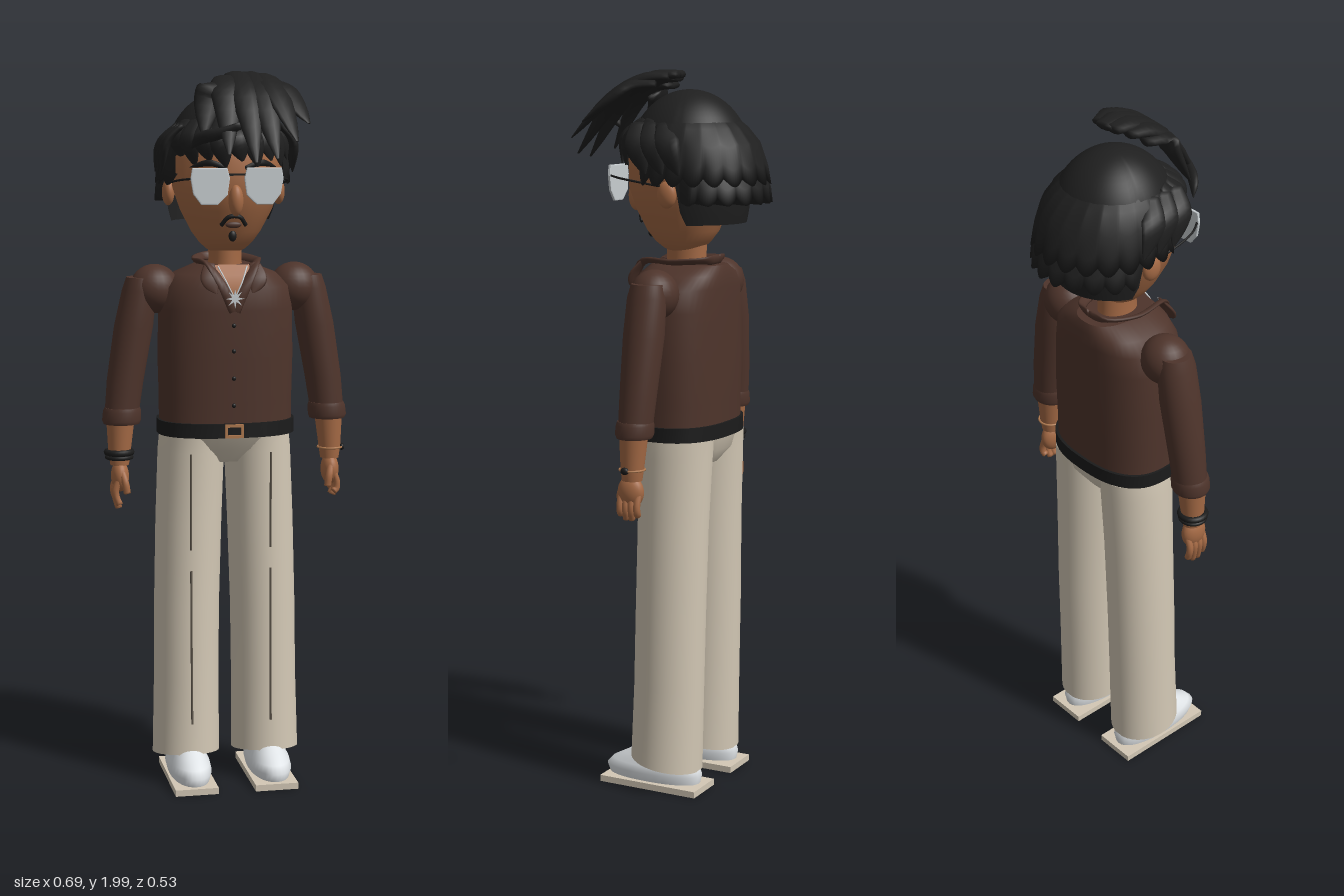
import * as THREE from 'three';

const mat = (name, color, side = THREE.FrontSide) => {
  const m = new THREE.MeshStandardMaterial({ color, side });
  m.name = name;
  return m;
};
const V = (x, y, z) => new THREE.Vector3(x, y, z);
const clamp01 = (v) => Math.min(1, Math.max(0, v));

// Grid surface: fn(column, row) gives a point; columns run around, rows run up
function surface(nu, rows, closed, fn) {
  const cols = closed ? nu : nu + 1, pos = [], idx = [];
  for (let j = 0; j < rows; j++)
    for (let i = 0; i < cols; i++) pos.push(...fn(i / nu, j).toArray());
  for (let j = 0; j < rows - 1; j++)
    for (let i = 0; i < nu; i++) {
      const a = j * cols + i, b = j * cols + ((i + 1) % cols), c = a + cols, d = b + cols;
      idx.push(a, c, b, b, c, d);
    }
  const g = new THREE.BufferGeometry();
  g.setAttribute('position', new THREE.Float32BufferAttribute(pos, 3));
  g.setIndex(idx);
  g.computeVertexNormals();
  return g;
}

// Stack of ellipses [y, cx, rx, cz, rz, tilt], capped with sharp rims
function loft(rings, p = 1, seg = 36) {
  const n = rings.length, pw = (v) => Math.sign(v) * Math.abs(v) ** p;
  return surface(seg, n + 4, true, (u, j) => {
    const [y, cx, rx, cz, rz, tilt = 0] = rings[Math.min(n - 1, Math.max(0, j - 2))];
    const k = j === 0 || j === n + 3 ? 0 : 1, t = u * Math.PI * 2;
    const s = pw(Math.sin(t)) * k;
    return V(cx + rx * pw(Math.cos(t)) * k, y + tilt * s, cz + rz * s);
  });
}

// Flat strand swept along points; w and h are half sizes, tapered to a tip if asked
function strand(points, w, h, side, taper = true, steps = 12) {
  const curve = new THREE.CatmullRomCurve3(points.map((q) => V(...q)));
  return surface(10, steps + 3, true, (u, j) => {
    const k = Math.min(steps, Math.max(0, j - 1)) / steps, t = u * Math.PI * 2;
    const T = curve.getTangent(k), e1 = V(...side);
    e1.addScaledVector(T, -e1.dot(T)).normalize();
    const e2 = e1.clone().cross(T);
    const end = j === 0 || j === steps + 2 ? 0 : 1;
    const f = end * (taper ? (k < 0.5 ? 0.6 + 0.8 * k : 1 - (2 * k - 1) ** 2 * 0.9) : 1);
    return curve.getPoint(k).addScaledVector(e1, w * f * Math.cos(t)).addScaledVector(e2, h * f * Math.sin(t));
  });
}

const ball = (x, y, z, rx, ry, rz) => new THREE.SphereGeometry(1, 24, 16).scale(rx, ry, rz).translate(x, y, z);
const box = (x, y, z, w, h, d) => new THREE.BoxGeometry(w, h, d).translate(x, y, z);

export function createModel() {
  const root = new THREE.Group();
  root.name = 'standingMan';
  const skin = mat('skin', 0xa56a45), hair = mat('hairBlack', 0x1f1f1f, THREE.DoubleSide);
  const shirt = mat('shirtBrown', 0x4e342b), cream = mat('trouserCream', 0xd3c8b5);
  const black = mat('beltBlack', 0x1b1b1b), white = mat('shoeWhite', 0xdfe3e6);
  const glass = mat('lensGrey', 0xc8ced1), seam = mat('creaseGrey', 0x5e564b);
  const tan = mat('buckleTan', 0xb07a50);
  const add = (name, g, m, parent = root) => {
    const mesh = new THREE.Mesh(g, m);
    mesh.name = name;
    parent.add(mesh);
  };

  // Trunk
  add('shirtBody', loft([[1.02, 0, 0.185, -0.03, 0.127], [1.1, 0, 0.185, -0.03, 0.128], [1.22, 0, 0.188, -0.03, 0.13],
    [1.35, 0, 0.185, -0.028, 0.13], [1.41, 0, 0.175, -0.03, 0.127], [1.445, 0, 0.14, -0.035, 0.12],
    [1.47, 0, 0.075, -0.04, 0.105]], 0.8, 48), shirt);
  add('hips', loft([[0.92, 0, 0.08, -0.045, 0.07], [0.96, 0, 0.165, -0.045, 0.1], [1.01, 0, 0.185, -0.038, 0.118]], 0.85), cream);
  add('belt', loft([[1.0, 0, 0.192, -0.03, 0.135], [1.04, 0, 0.192, -0.03, 0.135]], 0.8, 48), black);
  for (const e of [-1, 1]) {
    add('buckleBar', box(0, 1.02 + e * 0.015, 0.108, 0.05, 0.008, 0.008), tan);
    add('buckleSide', box(e * 0.022, 1.02, 0.108, 0.007, 0.038, 0.008), tan);
  }
  for (const y of [1.31, 1.24, 1.165, 1.09]) add('button', ball(0, y, 0.102, 0.006, 0.006, 0.004), black);

  // Open neckline, collar and pendant
  const front = [[1.355, 0.109], [1.41, 0.103], [1.445, 0.091], [1.474, 0.071]];
  add('openNeck', surface(6, 4, false, (u, j) => V((0.5 - u) * 0.11 * (j + 0.05) / 3, ...front[j])), skin);
  add('neck', loft([[1.42, 0, 0.05, -0.03, 0.06], [1.49, 0, 0.045, -0.03, 0.056], [1.57, 0, 0.05, -0.03, 0.06]]), skin);
  for (const s of [-1, 1]) {
    add('collar', strand([[s * 0.002, 1.35, 0.112], [s * 0.033, 1.42, 0.108], [s * 0.066, 1.475, 0.07], [s * 0.082, 1.478, -0.03],
      [s * 0.05, 1.483, -0.11], [0, 1.484, -0.125]], 0.014, 0.006, [s, 0.6, 0], false, 24), shirt);
    add('collarFlap', strand([[s * 0.062, 1.478, 0.07], [s * 0.068, 1.44, 0.098], [s * 0.05, 1.40, 0.112]], 0.024, 0.006, [1, 0.2, 0]), shirt);
    add('necklace', strand([[0, 1.385, 0.113], [s * 0.022, 1.43, 0.106], [s * 0.04, 1.47, 0.08]], 0.002, 0.002, [1, 0, 0], false), glass);
  }
  const star = new THREE.Shape(Array.from({ length: 16 }, (_, i) => {
    const r = i % 2 ? 0.009 : 0.026, a = i * Math.PI / 8;
    return new THREE.Vector2(r * Math.sin(a), r * Math.cos(a));
  }));
  add('pendant', new THREE.ExtrudeGeometry(star, { depth: 0.005, bevelEnabled: false }).translate(0, 1.385, 0.114), glass);

  for (const s of [-1, 1]) {
    // Legs and shoes
    const leg = [[0.075, s * 0.115, 0.095, -0.028, 0.102, 0.016], [0.3, s * 0.112, 0.092, -0.034, 0.1], [0.5, s * 0.11, 0.092, -0.038, 0.1],
      [0.75, s * 0.103, 0.093, -0.042, 0.1], [0.95, s * 0.095, 0.093, -0.045, 0.105], [1.0, s * 0.092, 0.091, -0.045, 0.108]];
    add('trouserLeg', loft(leg), cream);
    const crease = (y) => {
      const i = Math.max(1, leg.findIndex((r) => r[0] >= y)), a = leg[i - 1], b = leg[i], k = (y - a[0]) / (b[0] - a[0]);
      return [s * 0.113, y, a[3] + a[4] + (b[3] + b[4] - a[3] - a[4]) * k];
    };
    add('lowerCrease', strand([0.18, 0.3, 0.5, 0.62].map(crease), 0.003, 0.003, [1, 0, 0], false), seam);
    add('upperCrease', strand([0.68, 0.75, 0.85, 0.95].map(crease), 0.003, 0.004, [1, 0, 0], false), seam);
    add('shoe', loft([[0.022, s * 0.115, 0.055, 0.01, 0.14], [0.045, s * 0.115, 0.061, 0.012, 0.147], [0.065, s * 0.115, 0.057, 0.006, 0.135],
      [0.085, s * 0.115, 0.047, -0.005, 0.108], [0.11, s * 0.115, 0.04, -0.02, 0.08]], 0.9), white);
    add('sole', box(s * 0.114, 0.009, 0.005, 0.122, 0.018, 0.3), cream);

    // Arms
    add('shoulder', ball(s * 0.197, 1.402, -0.035, 0.069, 0.068, 0.066), shirt);
    add('sleeve', loft([[1.05, s * 0.293, 0.047, -0.028, 0.046], [1.15, s * 0.281, 0.051, -0.032, 0.05], [1.3, s * 0.256, 0.054, -0.035, 0.056],
      [1.4, s * 0.239, 0.048, -0.035, 0.054], [1.435, s * 0.235, 0.04, -0.035, 0.045]]), shirt);
    add('cuff', loft([[1.03, s * 0.293, 0.05, -0.026, 0.047], [1.04, s * 0.293, 0.054, -0.026, 0.052], [1.065, s * 0.291, 0.053, -0.027, 0.051], [1.075, s * 0.29, 0.049, -0.027, 0.048]]), shirt);
    add('forearm', loft([[0.915, s * 0.3, 0.026, -0.022, 0.028], [0.95, s * 0.3, 0.031, -0.023, 0.032], [1.05, s * 0.296, 0.04, -0.026, 0.04]]), skin);
    const band = (y, t) => new THREE.TorusGeometry(0.034, t, 8, 28).rotateX(Math.PI / 2).translate(s * 0.301, y, -0.023);
    if (s < 0) {
      add('bracelet', band(0.95, 0.009), black);
      add('lowerBracelet', band(0.936, 0.006), black);
    } else {
      add('thinBracelet', band(0.945, 0.003), tan);
      add('bead', ball(0.334, 0.945, -0.018, 0.008, 0.01, 0.012), black);
    }
    add('palm', ball(s * 0.3, 0.883, -0.018, 0.025, 0.044, 0.038), skin);
    for (let f = 0; f < 4; f++) {
      const z = -0.044 + f * 0.017, low = 0.822 - (f === 1 || f === 2 ? 0.012 : 0) - (s < 0 ? 0.015 : 0);
      add('finger', strand([[s * 0.304, 0.88, z], [s * 0.315, 0.85, z], [s * 0.314, 0.83, z], [s * 0.305, low, z + 0.003]], 0.0095, 0.0095, [0, 0, 1], false), skin);
    }
    add('thumb', strand([[s * 0.298, 0.9, 0.005], [s * 0.29, 0.87, 0.02], [s * 0.285, 0.84, 0.02]], 0.01, 0.01, [1, 0, 0], false), skin);

    // Ears, brows and glasses
    add('ear', ball(s * 0.155, 1.665, -0.05, 0.017, 0.036, 0.028), skin);
    add('eyebrow', strand([[s * 0.025, 1.737, 0.132], [s * 0.07, 1.75, 0.12], [s * 0.118, 1.738, 0.085]], 0.009, 0.006, [0, 1, 0]), black);
    const lens = new THREE.Shape([[0.048, 0.044], [0.052, 0.02], [0.045, -0.02], [0.025, -0.046], [-0.015, -0.046], [-0.04, -0.022], [-0.046, 0.02], [-0.04, 0.044]]
      .map(([x, y]) => new THREE.Vector2(x * s, y)));
    add('lens', new THREE.ExtrudeGeometry(lens, { depth: 0.006, bevelEnabled: true, bevelSize: 0.004, bevelThickness: 0.001, bevelSegments: 2 })
      .translate(s * 0.07, 1.69, 0.14), glass);
    add('glassesArm', strand([[s * 0.118, 1.71, 0.143], [s * 0.145, 1.705, 0.1], [s * 0.16, 1.695, 0.02], [s * 0.16, 1.685, -0.05]], 0.003, 0.003, [0, 1, 0], false), black);
  }
  add('glassesBridge', box(0, 1.72, 0.143, 0.05, 0.006, 0.005), black);

  // Head and face
  add('head', loft([[1.498, 0, 0.03, -0.025, 0.03], [1.512, 0, 0.055, -0.022, 0.055], [1.53, 0, 0.074, -0.02, 0.077], [1.56, 0, 0.096, -0.02, 0.1],
    [1.62, 0, 0.127, -0.016, 0.126], [1.68, 0, 0.148, -0.016, 0.145], [1.76, 0, 0.155, -0.02, 0.148], [1.82, 0, 0.14, -0.03, 0.138], [1.88, 0, 0.09, -0.04, 0.09]]), skin);
  add('nose', ball(0, 1.65, 0.127, 0.02, 0.042, 0.022), skin);
  add('moustache', strand([[-0.034, 1.582, 0.092], [-0.015, 1.605, 0.105], [0.015, 1.605, 0.105], [0.034, 1.582, 0.092]], 0.006, 0.005, [0, 1, 0], false), black);
  add('lips', ball(0, 1.583, 0.093, 0.022, 0.009, 0.007), shirt);
  add('goatee', ball(0, 1.552, 0.08, 0.011, 0.015, 0.008), black);

  // Hair cap with a hairline that drops behind the ears
  const HX = 0.165, HZ = 0.172, CZ = -0.04, CY = 1.74;
  add('hairCap', surface(64, 25, true, (u, j) => {
    const t = u * Math.PI * 2, s = Math.sin(t);
    const drop = clamp01((-0.2 - s) / 0.12), low = -0.1 + 0.4 * clamp01(s / 0.75) - 0.68 * drop;
    const max = low > 0 ? Math.acos(low) : Math.PI / 2 - low;
    const phi = max * (1 - j / 24), under = phi > Math.PI / 2;
    const h = under ? Math.PI / 2 - phi : Math.cos(phi), r = under ? 1 - 0.15 * h * h : Math.sin(phi);
    return V(HX * r * Math.cos(t), CY + 0.2 * h, CZ + HZ * r * s);
  }), hair);

  // Scalloped hair layers around the sides and back: profile is [radius, y, outward share]
  const layer = (name, over, count, profile) => add(name, surface(count * 8, profile.length, false, (u, j) => {
    const t = -Math.PI - over + u * (Math.PI + 2 * over), s = Math.sin(t);
    const [r, y, k] = profile[j], sc = Math.abs(Math.sin(u * count * Math.PI));
    const fade = clamp01(Math.min(u, 1 - u) / 0.06), out = 0.07 + 0.2 * Math.max(0, -s) + 0.045 * sc;
    const m = r + k * out * fade;
    return V(HX * m * Math.cos(t), y - 0.022 * sc * k, CZ + HZ * m * s);
  }), hair);
  layer('upperHairLayer', 0.45, 15, [[0.95, 1.72, 0], [1, 1.71, 1], [1, 1.75, 0.85], [0.99, 1.8, 0.5], [0.9, 1.84, 0.1], [0.78, 1.86, 0]]);
  layer('lowerHairLayer', -0.3, 10, [[0.93, 1.64, 0], [1.02, 1.66, 1], [1.02, 1.7, 0.9], [1, 1.75, 0.3], [0.95, 1.78, 0]]);

  // Swept quiff of overlapping locks, leaning to the left
  const tips = [[-0.09, 1.82, 0.14], [-0.035, 1.775, 0.215], [0.03, 1.755, 0.255], [0.085, 1.765, 0.262], [0.14, 1.81, 0.25], [0.185, 1.855, 0.19]];
  tips.forEach((p, i) => {
    const x = -0.035 + 0.028 * i, z = [0.03, 0, -0.025, -0.03, -0.015, 0.01][i], y = [1.95, 1.97, 1.98, 1.98, 1.975, 1.955][i];
    add('quiffLock', strand([[x, y, z], [x * 0.7 + p[0] * 0.3, y - 0.005, z + 0.06], [x * 0.4 + p[0] * 0.6, 1.915, z * 0.4 + p[2] * 0.6], p],
      0.045, 0.018, [1, 0, i > 3 ? -0.5 : 0.1]), hair);
  });

  // Fringe points across the forehead, plus a loose curl
  for (let i = 0; i < 9; i++) {
    const a = -1.1 + i * 0.275, c = Math.sin(a), d = Math.cos(a), y = 1.755 - 0.015 * (i % 2);
    add('fringeLock', strand([[c * 0.13, 1.86, CZ + d * 0.13], [c * 0.163, 1.815, CZ + d * 0.182], [c * 0.16 + 0.015, y, CZ + d * 0.186]],
      0.033, 0.012, [d, 0, -c]), hair);
  }
  add('looseCurl', strand([[0.0, 1.85, 0.19], [-0.05, 1.83, 0.175], [-0.1, 1.815, 0.145], [-0.12, 1.79, 0.125]], 0.018, 0.012, [0, 1, 0.4]), hair);
  for (const s of [-1, 1])
    for (let i = 0; i < 3; i++)
      add('sideLock', strand([[s * 0.13, 1.85, 0.05 - i * 0.04], [s * 0.173, 1.8, 0.03 - i * 0.045], [s * 0.183, 1.72, -0.0 - i * 0.05]], 0.035, 0.013, [0, 0.3, 1]), hair);

  return root;
}
